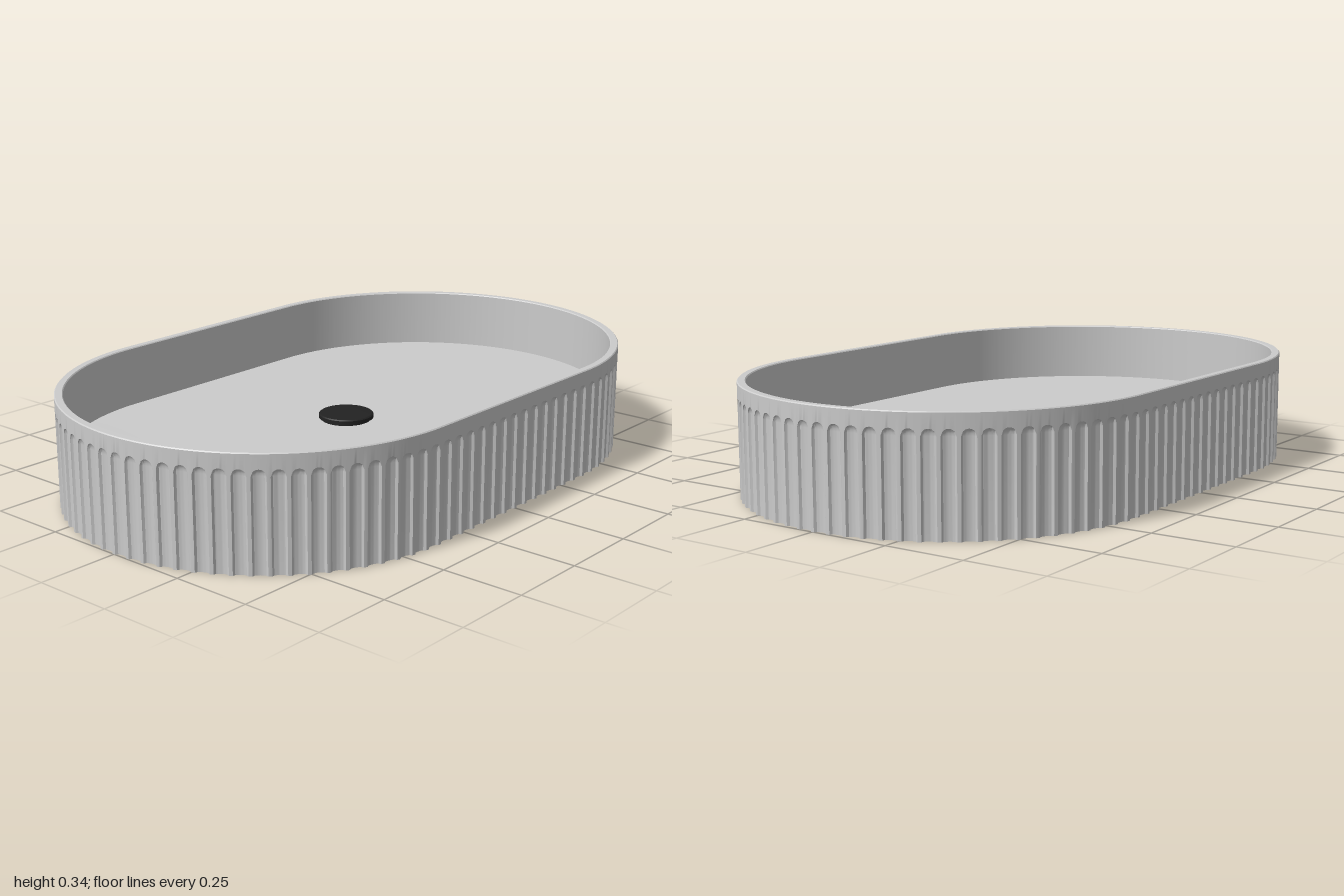
import * as THREE from 'three';
import { toCreasedNormals } from 'three/addons/utils/BufferGeometryUtils.js';

const R = 0.635, HALF = 0.365;            // end radius and half length of the straight sides
const HEIGHT = 0.345, FLUTE_TOP = 0.3, WALL = 0.026, FLOOR = 0.157;
const DRAIN_X = -0.027;
const FLUTES = 104, FLUTE_DEPTH = 0.01, FLUTE_FILL = 0.8, STEPS = 8;
const ARC = Math.PI * R, LENGTH = 2 * ARC + 4 * HALF;

// Point on the stadium outline at arc length s, moved inward by inset
function outline(s, inset, y) {
  s = ((s % LENGTH) + LENGTH) % LENGTH;
  const r = R - inset;
  if (s < HALF) return [s, y, r];
  if (s < HALF + ARC) {
    const a = (s - HALF) / R;
    return [HALF + r * Math.sin(a), y, r * Math.cos(a)];
  }
  if (s < 3 * HALF + ARC) return [2 * HALF + ARC - s, y, -r];
  if (s < 3 * HALF + 2 * ARC) {
    const a = (s - 3 * HALF - ARC) / R;
    return [-HALF - r * Math.sin(a), y, -r * Math.cos(a)];
  }
  return [s - LENGTH, y, r];
}

// Columns round the outline: u runs -1..1 across a flute, the land lies between flutes
const pitch = LENGTH / FLUTES;
const columns = [];
for (let f = 0; f < FLUTES; f++) {
  for (let k = 0; k <= STEPS; k++) {
    const u = (2 * k) / STEPS - 1;
    columns.push({ s: (f + 0.5 + (u * FLUTE_FILL) / 2) * pitch, u });
  }
}

// Closed skin through rows; each row maps a column to a point
function skin(name, rows, material) {
  const pts = rows.map((row) => columns.map(row));
  const pos = [];
  const same = (p, q) => Math.hypot(p[0] - q[0], p[1] - q[1], p[2] - q[2]) < 1e-7;
  const tri = (a, b, c) => {
    if (!same(a, b) && !same(b, c) && !same(a, c)) pos.push(...a, ...b, ...c);
  };
  for (let j = 0; j < rows.length - 1; j++) {
    for (let i = 0; i < columns.length; i++) {
      const n = (i + 1) % columns.length;
      const [a, b, c, d] = [pts[j][i], pts[j][n], pts[j + 1][n], pts[j + 1][i]];
      tri(a, b, c);
      tri(a, c, d);
    }
  }
  const geometry = new THREE.BufferGeometry();
  geometry.setAttribute('position', new THREE.Float32BufferAttribute(pos, 3));
  const mesh = new THREE.Mesh(toCreasedNormals(geometry, 0.45), material);
  mesh.name = name;
  return mesh;
}

export function createModel() {
  const group = new THREE.Group();
  group.name = 'basin';
  const grey = new THREE.MeshStandardMaterial({ color: 0xcccccc });
  const dark = new THREE.MeshStandardMaterial({ color: 0x222222 });

  const ring = (inset, y) => ({ s }) => outline(s, inset, y);
  const centre = (x, y) => () => [x, y, 0];

  // Flute section: round groove, closed by a round arch at the top
  const archRadius = (pitch * FLUTE_FILL) / 2;
  const groove = (u) => Math.sqrt(Math.max(0, 1 - u * u));
  const foot = ({ s, u }) => outline(s, FLUTE_DEPTH * groove(u), 0);
  const arch = (t) => ({ s, u }) => outline(
    s,
    FLUTE_DEPTH * groove(u) * Math.cos(t),
    FLUTE_TOP - archRadius * (1 - groove(u) * Math.sin(t)),
  );
  const arches = [0, 1, 2, 3, 4].map((k) => arch((k * Math.PI) / 8));

  group.add(skin('base', [centre(0, 0), foot], grey));
  group.add(skin('flutedWall', [foot, ...arches, ring(0, HEIGHT - 0.003)], grey));

  // Rim with softened edges
  group.add(skin('rim', [
    ring(0, HEIGHT - 0.003), ring(0.003, HEIGHT),
    ring(WALL - 0.003, HEIGHT), ring(WALL, HEIGHT - 0.003),
  ], grey));

  // Inner wall and floor falling gently to the drain
  group.add(skin('bowl', [
    ring(WALL, HEIGHT - 0.003), ring(WALL, FLOOR), centre(DRAIN_X, FLOOR - 0.006),
  ], grey));

  // Drain: a collar under a slightly domed cap
  const drainProfile = [
    [0, 0.145], [0.078, 0.145], [0.078, 0.157], [0.086, 0.158],
    [0.086, 0.169], [0.082, 0.172], [0, 0.174],
  ].map(([x, y]) => new THREE.Vector2(x, y));
  const drain = new THREE.Mesh(
    toCreasedNormals(new THREE.LatheGeometry(drainProfile, 48), 0.45), dark);
  drain.name = 'drainCap';
  drain.position.x = DRAIN_X;
  group.add(drain);

  return group;
}
